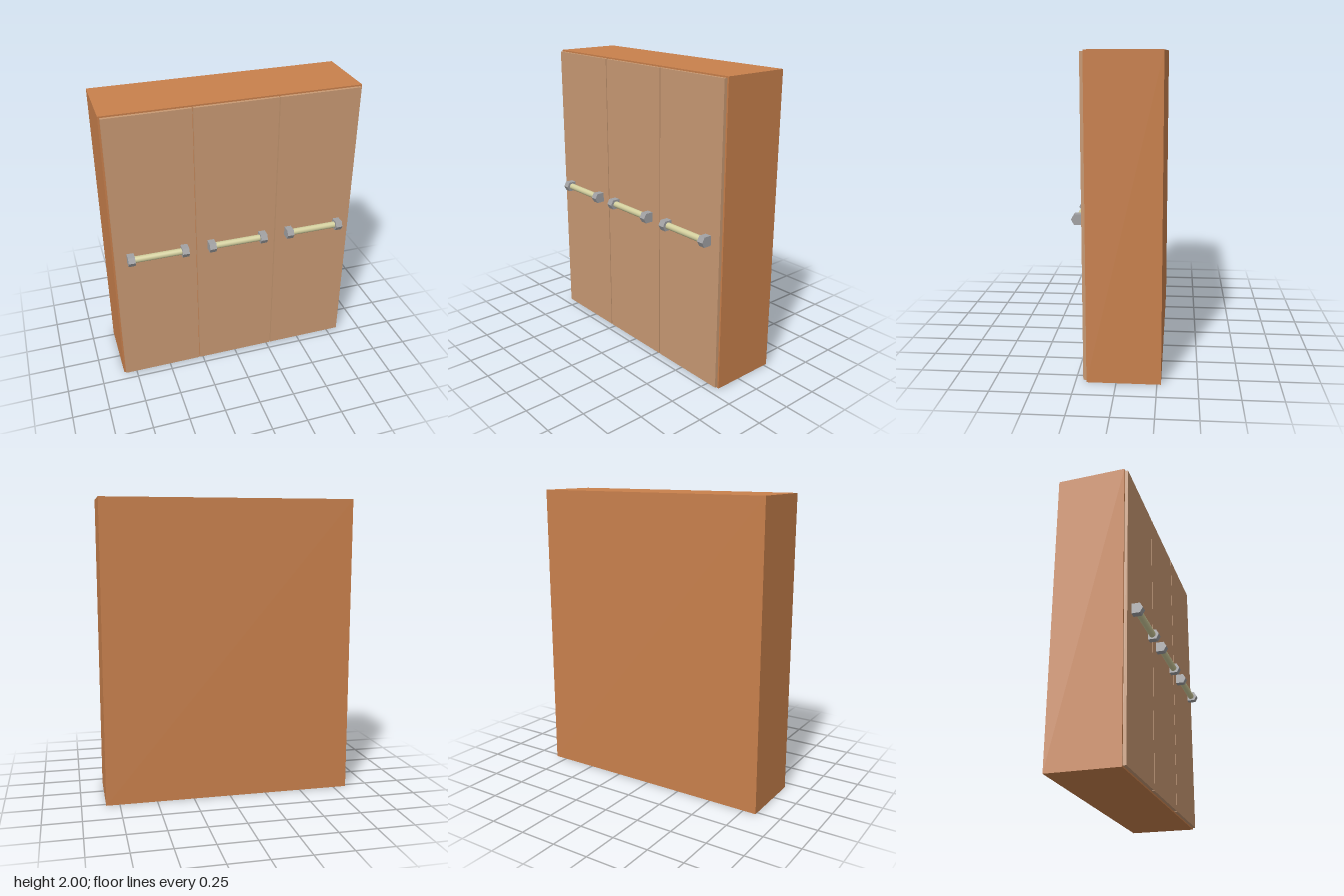
import * as THREE from 'three';

const mat = (name, color, flatShading = false) => {
  const m = new THREE.MeshStandardMaterial({ color, flatShading });
  m.name = name;
  return m;
};

export function createModel() {
  const group = new THREE.Group();
  const wood = mat('cabinet wood', 0xc8804c);
  const panel = mat('door wood', 0xc89973);
  const metal = mat('grey metal', 0xa2a2a4);
  const brass = mat('pale brass', 0xd3cf9e);

  const add = (parent, name, geometry, material, x, y, z) => {
    const mesh = new THREE.Mesh(geometry, material);
    mesh.name = name;
    mesh.position.set(x, y, z);
    parent.add(mesh);
    return mesh;
  };

  // Cabinet body
  add(group, 'cabinetBody', new THREE.BoxGeometry(1.68, 2, 0.457), wood, 0, 1, -0.0465);

  // Handle mount: five-sided profile with a pointed front, extruded along x
  const profile = new THREE.Shape();
  profile.moveTo(0, -0.033);
  profile.lineTo(0.055, -0.033);
  profile.lineTo(0.073, 0);
  profile.lineTo(0.055, 0.033);
  profile.lineTo(0, 0.033);
  profile.closePath();
  const mountGeo = new THREE.ExtrudeGeometry(profile, { depth: 0.046, bevelEnabled: false });
  mountGeo.translate(0, 0, -0.023);
  mountGeo.rotateY(-Math.PI / 2);

  // Handle bar
  const barGeo = new THREE.CylinderGeometry(0.022, 0.022, 0.36, 20);
  barGeo.rotateZ(Math.PI / 2);

  // Three doors, each with a horizontal bar handle
  const doorGeo = new THREE.BoxGeometry(0.547, 1.98, 0.021);
  [['right', -0.555, -0.546], ['middle', 0, 0], ['left', 0.555, 0.552]].forEach(([side, doorX, handleX]) => {
    add(group, side + 'Door', doorGeo, panel, doorX, 1, 0.1925);
    const handle = new THREE.Group();
    handle.name = side + 'Handle';
    handle.position.set(handleX, 1.004, 0);
    group.add(handle);
    add(handle, 'handleBar', barGeo, brass, 0, 0, 0.232);
    for (const s of [-1, 1]) add(handle, 'handleMount', mountGeo, metal, s * 0.18, 0, 0.202);
  });

  return group;
}
